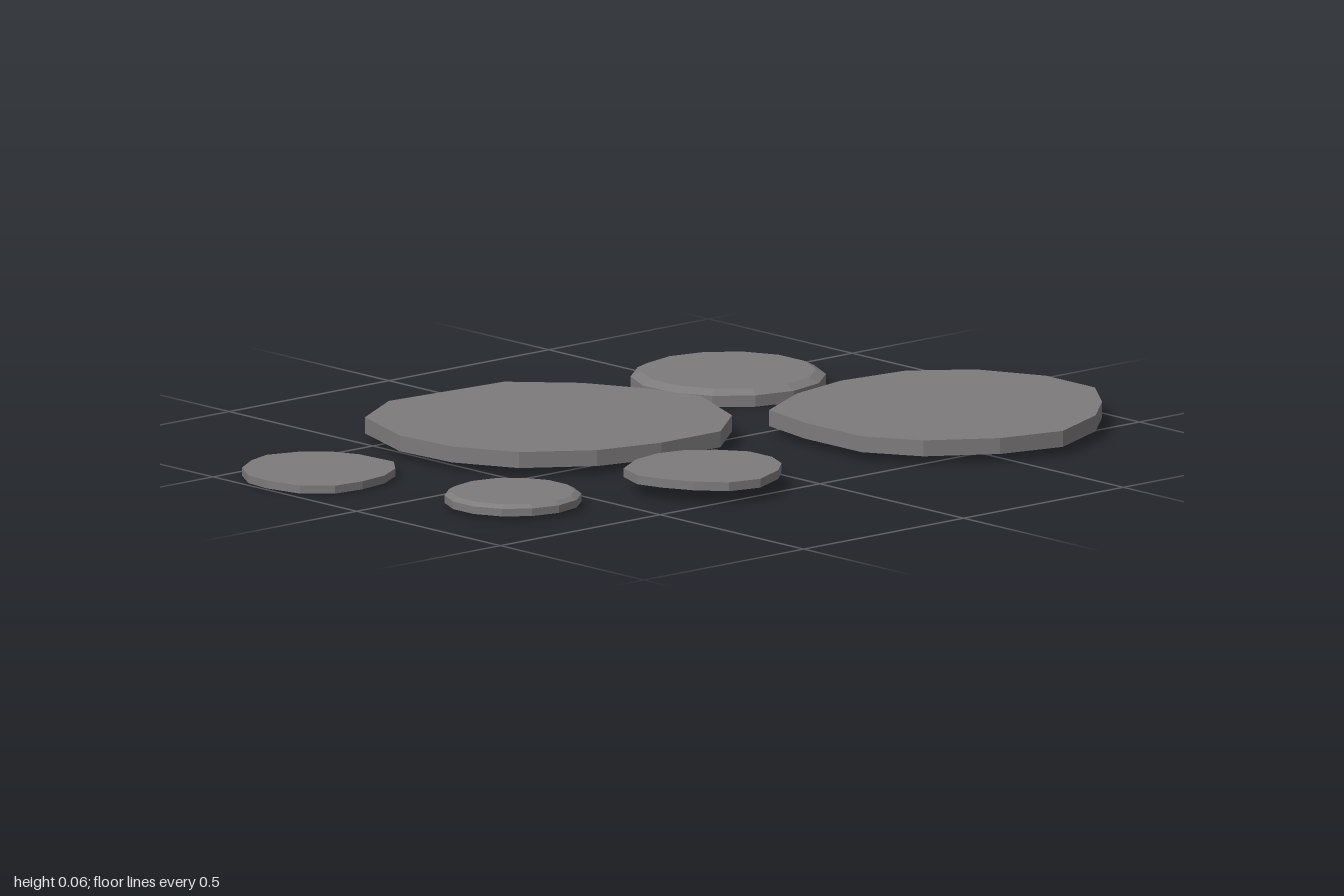
import * as THREE from 'three';

const stone = new THREE.MeshStandardMaterial({ color: 0x7d7a7b });
stone.name = 'grey stone';

// Flat slab with an irregular outline of [x, z] corners
function slab(name, outline, bottom, top) {
  const shape = new THREE.Shape(outline.map(([x, z]) => new THREE.Vector2(x, -z)));
  const geo = new THREE.ExtrudeGeometry(shape, { depth: top - bottom, bevelEnabled: false });
  geo.rotateX(-Math.PI / 2).translate(0, bottom, 0);
  const mesh = new THREE.Mesh(geo, stone);
  mesh.name = name;
  return mesh;
}

// Round 14-sided stone with a chamfered upper rim
function roundStone(name, x, z, radius, inset, bottom, rim, top) {
  const profile = [[0, bottom], [radius, bottom], [radius, rim], [radius - inset, top], [0, top]]
    .map(([r, y]) => new THREE.Vector2(r, y));
  const geo = new THREE.LatheGeometry(profile, 14).toNonIndexed();
  geo.computeVertexNormals();
  const mesh = new THREE.Mesh(geo, stone);
  mesh.name = name;
  mesh.position.set(x, 0, z);
  return mesh;
}

export function createModel() {
  const group = new THREE.Group();
  group.name = 'steppingStones';

  // Two large slabs
  group.add(slab('largeSlabBack', [
    [-0.32, -0.645], [0.02, -0.62], [0.145, -0.49], [0.215, -0.35], [0.257, -0.2], [0.17, 0.005], [0.035, 0.115],
    [-0.15, 0.115], [-0.315, 0.075], [-0.465, -0.03], [-0.54, -0.18], [-0.55, -0.35], [-0.48, -0.55],
  ], 0.019, 0.057));
  group.add(slab('largeSlabFront', [
    [0.61, -0.105], [0.795, -0.085], [0.925, 0.015], [1, 0.175], [1, 0.345], [0.91, 0.47], [0.8, 0.57],
    [0.63, 0.645], [0.47, 0.605], [0.32, 0.505], [0.243, 0.375], [0.243, 0.175], [0.272, 0.02], [0.44, -0.07],
  ], 0.019, 0.057));

  // Two small slabs
  group.add(slab('smallSlabBack', [
    [-0.815, -0.52], [-0.735, -0.495], [-0.68, -0.45], [-0.65, -0.38], [-0.643, -0.268], [-0.69, -0.21], [-0.76, -0.17],
    [-0.84, -0.157], [-0.92, -0.165], [-0.98, -0.22], [-1, -0.315], [-0.993, -0.385], [-0.95, -0.455], [-0.88, -0.5],
  ], 0.003, 0.022));
  group.add(slab('smallSlabFront', [
    [-0.22, 0.177], [-0.15, 0.193], [-0.09, 0.24], [-0.045, 0.305], [-0.045, 0.385], [-0.075, 0.45], [-0.13, 0.5],
    [-0.225, 0.543], [-0.305, 0.523], [-0.36, 0.46], [-0.395, 0.39], [-0.413, 0.325], [-0.385, 0.245], [-0.3, 0.193],
  ], 0.031, 0.052));

  // Two round chamfered stones
  group.add(roundStone('roundStoneLarge', 0.545, -0.425, 0.228, 0.024, 0, 0.027, 0.039));
  group.add(roundStone('roundStoneSmall', -0.686, 0.195, 0.16, 0.015, 0.008, 0.026, 0.034));
  return group;
}
